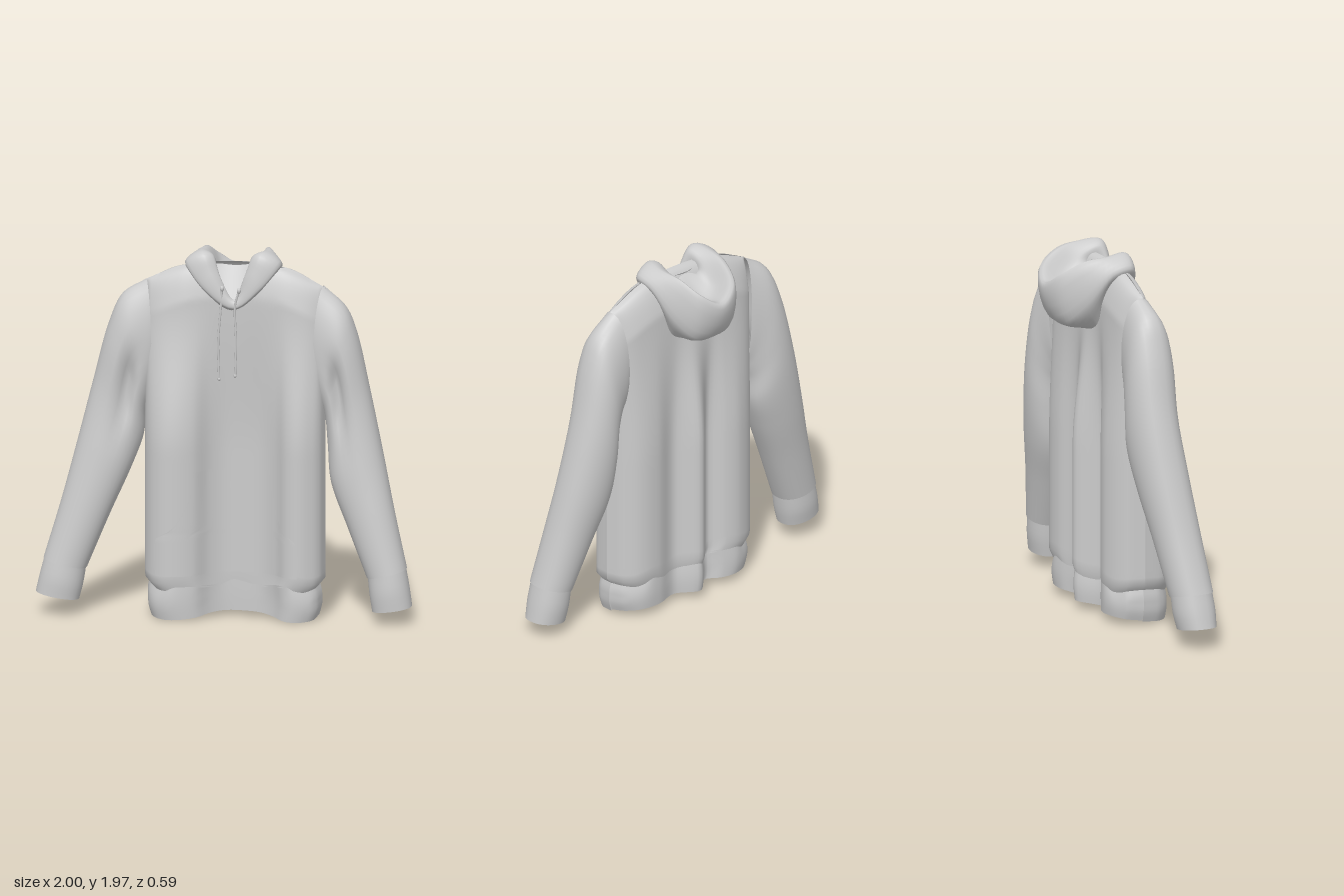
import * as THREE from 'three';
import { mergeVertices } from 'three/addons/utils/BufferGeometryUtils.js';

const cloth = new THREE.MeshStandardMaterial({ color: 0xcccccc, side: THREE.DoubleSide });
const clamp = THREE.MathUtils.clamp, lerp = THREE.MathUtils.lerp, smooth = THREE.MathUtils.smoothstep;
const V = (p) => new THREE.Vector3(...p);

// Smooth curve y(x) through [x, y] points
function interp(pts, x) {
  const n = pts.length - 1;
  x = clamp(x, pts[0][0], pts[n][0]);
  let i = 0;
  while (i < n - 1 && x > pts[i + 1][0]) i++;
  const slope = (k) => {
    const a = pts[Math.max(k - 1, 0)], b = pts[Math.min(k + 1, n)];
    return (b[1] - a[1]) / (b[0] - a[0]);
  };
  const [x0, y0] = pts[i], [x1, y1] = pts[i + 1], h = x1 - x0, t = (x - x0) / h;
  const t2 = t * t, t3 = t2 * t;
  return (2 * t3 - 3 * t2 + 1) * y0 + (t3 - 2 * t2 + t) * h * slope(i)
    + (3 * t2 - 2 * t3) * y1 + (t3 - t2) * h * slope(i + 1);
}

// Smooth surface over a grid; fn(u, v) gives [x, y, z]. Coinciding edges are welded.
function surface(name, fn, nu, nv) {
  const pos = [], idx = [];
  for (let j = 0; j <= nv; j++) for (let i = 0; i <= nu; i++) pos.push(...fn(i / nu, j / nv));
  for (let j = 0; j < nv; j++) for (let i = 0; i < nu; i++) {
    const a = j * (nu + 1) + i, b = a + 1, c = a + nu + 1, d = c + 1;
    idx.push(a, b, d, a, d, c);
  }
  let geo = new THREE.BufferGeometry();
  geo.setAttribute('position', new THREE.Float32BufferAttribute(pos, 3));
  geo.setIndex(idx);
  geo = mergeVertices(geo, 1e-5);
  geo.computeVertexNormals();
  const mesh = new THREE.Mesh(geo, cloth);
  mesh.name = name;
  return mesh;
}

// Depth profiles across the torso, for the draped lower part and the chest
const frontLow = [[-.43, .08], [-.415, .18], [-.35, .26], [-.26, .28], [-.15, .24], [-.08, .16], [0, .115], [.1, .11],
  [.2, .125], [.28, .175], [.33, .23], [.39, .252], [.46, .23], [.515, .17], [.53, .08]];
const backLow = [[-.43, .08], [-.4, -.01], [-.28, -.075], [-.18, -.06], [-.1, -.005], [.03, -.115], [.15, -.03], [.3, -.075], [.42, -.065], [.5, 0], [.53, .08]];
const frontHigh = [[-.43, .07], [-.4, .13], [-.25, .165], [-.1, .155], [.05, .14], [.2, .155], [.37, .165], [.5, .13], [.53, .07]];
const backHigh = [[-.43, .07], [-.4, .0], [-.25, -.035], [.05, -.03], [.35, -.035], [.5, 0], [.53, .07]];
const shoulder = [[-.43, 1.81], [-.2, 1.895], [.05, 1.92], [.3, 1.895], [.53, 1.79]];
const neckline = [[-.43, 1.81], [-.2, 1.895], [-.1, 1.81], [.05, 1.66], [.2, 1.81], [.3, 1.895], [.53, 1.79]];

function torsoZ(x, y, front) {
  const low = interp(front ? frontLow : backLow, x), high = interp(front ? frontHigh : backHigh, x);
  const z = lerp(low, high, smooth(y, .9, 1.75));
  return .07 + (z - .07) * Math.pow(clamp((interp(shoulder, x) - y) / .18, 0, 1), .4);
}

// u runs around the torso: front from right to left, then back
function around(u) {
  const front = u <= .5, t = front ? u * 2 : 2 - u * 2;
  return [.05 - .48 * Math.cos(Math.PI * t), front];
}
const raise = (z) => (.25 - z) * .12;
const gatherLine = (x, z) => .178 + .012 * Math.sin(23 * x) + raise(z) * .5;

function torsoPoint(u, v) {
  const [x, front] = around(u);
  const bottom = gatherLine(x, torsoZ(x, .2, front));
  // rows crowd towards the shoulder, where the cloth turns over
  const y = lerp(bottom, interp(front ? neckline : shoulder, x), 1 - Math.pow(1 - v, 1.5));
  const k = 1 - .07 * (1 - smooth(y, bottom, bottom + .045));
  return [.05 + (x - .05) * k, y, .08 + (torsoZ(x, y, front) - .08) * k];
}

function hemPoint(u, v) {
  const [x, front] = around(u);
  const z = torsoZ(x, .15, front);
  const bottom = .012 + raise(z) + .01 * Math.cos(5 * x) * (front ? 1 : 0);
  const k = .93 + .035 * Math.sin(Math.PI * v) + .015 * Math.sin(40 * x) * v;
  return [.05 + (x - .05) * Math.min(k, .965), lerp(bottom, gatherLine(x, z) + .01, v), .08 + (z - .08) * k];
}

// Pocket patch lying on the front
const pocketRight = [[.24, -.35], [.45, -.35], [.5, -.27], [.6, -.2], [.7, -.16], [.81, -.15]];
const pocketLeft = [[.24, .4], [.43, .4], [.5, .32], [.62, .275], [.81, .24]];
function pocketPoint(u, v) {
  const y = lerp(.25, .81, v), x = lerp(interp(pocketRight, y), interp(pocketLeft, y), u);
  return [x, y, torsoZ(x, y, true) + .014];
}

// Sleeve and cuff: sections as [outer x, y, inner x, y, centre z, half depth];
// bow curves the armhole seam towards the chest, fold is the depth of the armpit crease
function tube(name, rows, bow, fold, nv) {
  const outer = new THREE.CatmullRomCurve3(rows.map((r) => V([r[0], r[1], r[4]])));
  const inner = new THREE.CatmullRomCurve3(rows.map((r) => V([r[2], r[3], r[4]])));
  const depth = rows.map((r, i) => [i / (rows.length - 1), r[5]]);
  return surface(name, (u, v) => {
    const a = u * Math.PI * 2, o = outer.getPoint(v), i = inner.getPoint(v);
    const c = Math.cos(a) * .5, s = u === 1 ? 0 : Math.sin(a);
    let z = o.z + interp(depth, v) * Math.sign(s) * Math.pow(Math.abs(s), .85);
    z -= fold * Math.exp(-(((c + .1) / .13) ** 2) - ((v - .36) / .16) ** 2) * Math.max(s, 0);
    const x = lerp(i.x, o.x, c + .5) + bow * Math.abs(s) * Math.exp(-((v / .12) ** 2));
    return [x, lerp(i.y, o.y, c + .5), z];
  }, 32, nv);
}
const rightSleeve = [
  [-.425, 1.81, -.41, 1.23, .06, .1], [-.55, 1.73, -.41, 1.18, .06, .125], [-.625, 1.57, -.43, 1.1, .055, .135],
  [-.705, 1.27, -.44, .97, .05, .135], [-.79, .93, -.5, .8, .075, .135], [-.87, .62, -.61, .55, .11, .125],
  [-.96, .31, -.73, .26, .145, .115]];
const leftSleeve = [
  [.52, 1.8, .49, 1.22, .06, .1], [.635, 1.69, .5, 1.18, .06, .125], [.69, 1.56, .525, 1.11, .055, .135],
  [.76, 1.25, .54, .95, .05, .135], [.84, .88, .56, .75, .075, .135], [.9, .6, .65, .52, .11, .125],
  [.97, .3, .76, .25, .145, .115]];
const rightCuff = [[-.955, .315, -.735, .265, .146, .108], [-.98, .22, -.75, .17, .152, .11], [-1, .13, -.77, .09, .158, .1]];
const leftCuff = [[.965, .305, .765, .255, .146, .108], [.985, .2, .775, .16, .152, .11], [1, .1, .79, .07, .158, .1]];

// Hood lying back: half sections from the throat round to the back, outer foot to inner foot
const hoodHalf = [
  [[0, 1.67, .145], [.01, 1.685, .165], [.015, 1.715, .16], [.01, 1.725, .135], [0, 1.7, .11]],
  [[.12, 1.74, .14], [.145, 1.79, .17], [.11, 1.87, .16], [.065, 1.85, .135], [.06, 1.8, .11]],
  [[.19, 1.82, .1], [.25, 1.91, .115], [.155, 1.97, .13], [.1, 1.95, .1], [.1, 1.85, .07]],
  [[.2, 1.8, 0], [.25, 1.89, 0], [.18, 1.97, 0], [.11, 1.93, .02], [.1, 1.87, .03]],
  [[.14, 1.6, -.04], [.2, 1.73, -.13], [.16, 1.955, -.13], [.1, 1.88, -.06], [.07, 1.87, 0]],
  [[.08, 1.56, -.05], [.12, 1.63, -.21], [.115, 1.89, -.245], [.07, 1.83, -.12], [.04, 1.88, .01]],
  [[0, 1.55, -.05], [0, 1.61, -.225], [0, 1.82, -.29], [0, 1.8, -.14], [0, 1.885, .015]]];
function hood() {
  const mirrored = hoodHalf.slice(1, -1).reverse().map((s) => s.map(([x, y, z]) => [-x, y, z]));
  const rings = [...hoodHalf, ...mirrored];
  const rails = [0, 1, 2, 3, 4].map((k) => new THREE.CatmullRomCurve3(
    rings.map((s) => V([s[k][0] + .04, s[k][1], s[k][2]])), true));
  return surface('hood', (u, v) =>
    new THREE.CatmullRomCurve3(rails.map((r) => r.getPoint(u))).getPoint(v).toArray(), 72, 20);
}

// Lining that closes the neck between the throat and the nape
function liningPoint(u, v) {
  const s = u * 2 - 1;
  return [.04 + s * lerp(.02, .125, Math.sqrt(v)), lerp(1.69, 1.895, v), lerp(.125, .015, v) + .03 * s * s * v];
}

// Drawstring with a knot at the eyelet and a tip at the end
function drawstring(name, points) {
  const group = new THREE.Group();
  const path = points.map(([x, y]) => V([x, y, Math.max(.165, torsoZ(x, y, true) + .012)]));
  group.add(new THREE.Mesh(new THREE.TubeGeometry(new THREE.CatmullRomCurve3(path), 30, .006, 8), cloth));
  [[path[0], .011], [path[path.length - 1], .008]].forEach(([p, r]) => {
    const knot = new THREE.Mesh(new THREE.SphereGeometry(r, 10, 8), cloth);
    knot.position.copy(p);
    knot.scale.y = 1.4;
    group.add(knot);
  });
  group.name = name;
  return group;
}

export function createModel() {
  const model = new THREE.Group();
  model.name = 'hoodedSweatshirt';
  model.add(
    surface('torso', torsoPoint, 144, 60),
    surface('hemBand', hemPoint, 144, 8),
    surface('frontPocket', pocketPoint, 60, 28),
    tube('rightSleeve', rightSleeve, .03, .07, 36),
    tube('leftSleeve', leftSleeve, -.03, .07, 36),
    tube('rightCuff', rightCuff, 0, 0, 6),
    tube('leftCuff', leftCuff, 0, 0, 6),
    hood(),
    surface('neckLining', liningPoint, 16, 10),
    drawstring('rightDrawstring', [[-.01, 1.79], [-.015, 1.7], [-.03, 1.5], [-.025, 1.3]]),
    drawstring('leftDrawstring', [[.08, 1.78], [.06, 1.7], [.065, 1.5], [.06, 1.32]]),
  );
  return model;
}
